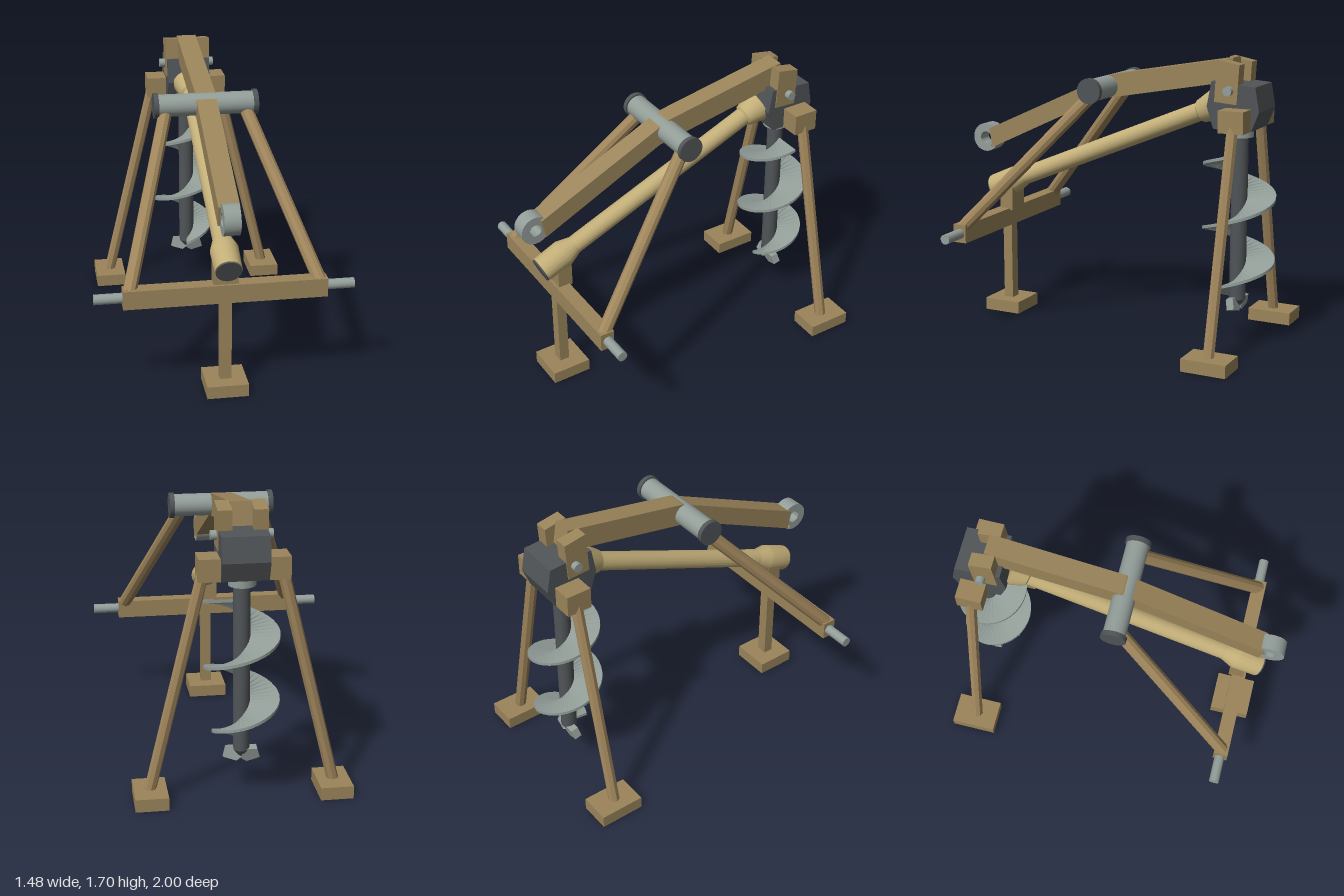
import * as THREE from 'three';
import { toCreasedNormals } from 'three/addons/utils/BufferGeometryUtils.js';

const mat = (name, color, extra = {}) => {
  const m = new THREE.MeshStandardMaterial({ color, ...extra });
  m.name = name;
  return m;
};
const V = (x, y, z) => new THREE.Vector3(x, y, z);
const UP = V(0, 1, 0);

export function createModel() {
  const wood = mat('wood', 0x9b855b);
  const pole = mat('poleWood', 0xa0865c);
  const tan = mat('paleWood', 0xc2ae78);
  const steel = mat('steel', 0x939e99);
  const dark = mat('darkIron', 0x515558);

  const model = new THREE.Group();
  const add = (name, geo, material) => {
    const mesh = new THREE.Mesh(geo, material);
    mesh.name = name;
    model.add(mesh);
    return mesh;
  };
  // Box given by its limits on each axis
  const box = (name, m, x0, x1, y0, y1, z0, z1) =>
    add(name, new THREE.BoxGeometry(x1 - x0, y1 - y0, z1 - z0), m)
      .position.set((x0 + x1) / 2, (y0 + y1) / 2, (z0 + z1) / 2);
  // Turn a y-aligned mesh so that it runs from a towards b
  const aim = (mesh, a, b) => {
    mesh.quaternion.setFromUnitVectors(UP, b.clone().sub(a).normalize());
    mesh.position.copy(a);
    return mesh;
  };
  const rod = (name, m, a, b, r, sides = 20) => {
    const len = a.distanceTo(b);
    const geo = new THREE.CylinderGeometry(r, r, len, sides).translate(0, len / 2, 0);
    return aim(add(name, sides < 12 ? toCreasedNormals(geo, 0.3) : geo, m), a, b);
  };
  // Side profile of [z, y] points, extruded across x
  const plate = (name, m, pts, x0, x1) => {
    const shape = new THREE.Shape(pts.map(([z, y]) => new THREE.Vector2(z, y)));
    const geo = new THREE.ExtrudeGeometry(shape, { depth: x1 - x0, bevelEnabled: false });
    return add(name, geo.rotateY(-Math.PI / 2).translate(x1, 0, 0), m);
  };

  // Front support: foot, post, crossbar and side pegs
  box('frontFoot', wood, -0.12, 0.12, 0, 0.075, 0.65, 0.89);
  box('frontPost', wood, -0.033, 0.033, 0.07, 0.58, 0.742, 0.803);
  box('crossbar', wood, -0.58, 0.58, 0.56, 0.67, 0.73, 0.815);
  box('tubeRest', wood, -0.07, 0.07, 0.66, 0.85, 0.71, 0.80);

  for (const s of [-1, 1]) {
    rod('peg', steel, V(s * 0.57, 0.615, 0.77), V(s * 0.74, 0.615, 0.77), 0.03);
    rod('frontLeg', pole, V(s * 0.54, 0.645, 0.775), V(s * 0.24, 1.445, 0.06), 0.04, 10);
    rod('rearLeg', pole, V(s * 0.525, 0.06, -0.825), V(s * 0.21, 1.36, -0.822), 0.034, 8);
    const fx = s * 0.523;
    box('rearFoot', wood, fx - 0.094, fx + 0.094, 0, 0.075, -0.965, -0.695);
    const bx = s * 0.183;
    box('shoulderBlock', wood, bx - 0.068, bx + 0.068, 1.293, 1.42, -0.897, -0.745);
    rod('pivotCap', dark, V(s * 0.28, 1.485, 0.04), V(s * 0.308, 1.485, 0.04), 0.075, 24);
    // Cheek gripping the beam end
    const cx = s * 0.098;
    plate('beamCheek', wood,
      [[-0.69, 1.69], [-0.825, 1.665], [-0.812, 1.44], [-0.675, 1.45]], cx - 0.04, cx + 0.04);
  }
  rod('pivotTube', steel, V(-0.285, 1.485, 0.04), V(0.285, 1.485, 0.04), 0.066, 24);
  rod('cheekBolt', steel, V(-0.172, 1.517, -0.765), V(0.172, 1.517, -0.765), 0.027, 16);

  // Bent rocking beam
  plate('beam', wood, [
    [0.878, 1.167], [0.03, 1.555], [-0.753, 1.695], [-0.775, 1.565],
    [-0.01, 1.425], [0.09, 1.41], [0.875, 1.06], [0.855, 1.05],
  ], -0.06, 0.06);

  // Eye ring at the beam tip
  const ring = new THREE.Shape().absarc(0, 0, 0.088, 0, Math.PI * 2);
  ring.holes.push(new THREE.Path().absarc(0, 0, 0.037, 0, Math.PI * 2, true));
  const ringGeo = new THREE.ExtrudeGeometry(ring, { depth: 0.092, bevelEnabled: false, curveSegments: 24 });
  add('eyeRing', toCreasedNormals(ringGeo.translate(0, 0, -0.046).rotateY(-Math.PI / 2), 0.6), steel)
    .position.set(0, 1.107, 0.912);

  // Sloping drive tube with collars
  const low = V(0, 0.785, 0.872), high = V(0, 1.415, -0.65);
  const profile = [
    [0, 0], [0.078, 0], [0.082, 0.16], [0.055, 0.24], [0.055, 1.52],
    [0.068, 1.53], [0.1, 1.64], [0, 1.647],
  ].map(([r, y]) => new THREE.Vector2(r, y));
  aim(add('driveTube', toCreasedNormals(new THREE.LatheGeometry(profile, 20), 0.4), tan), low, high);
  const dir = high.clone().sub(low).normalize();
  rod('tubeEndCap', dark, low.clone().addScaledVector(dir, -0.009), low, 0.074, 20);

  // Gear housing
  plate('gearHousing', dark, [
    [-0.655, 1.565], [-0.92, 1.545], [-0.945, 1.405], [-0.9, 1.293],
    [-0.67, 1.293], [-0.628, 1.42],
  ], -0.132, 0.132);

  // Auger: collar, shaft, pointed tip
  const az = -0.786;
  rod('augerCollar', steel, V(0, 1.24, az), V(0, 1.3, az), 0.078, 20);
  rod('augerShaft', dark, V(0, 0.27, az), V(0, 1.27, az), 0.048, 16);
  add('augerTip', new THREE.ConeGeometry(0.047, 0.07, 16).rotateX(Math.PI), dark)
    .position.set(0, 0.235, az);

  // Two canted cutting blades at the foot of the auger
  const blade = new THREE.Shape([[0, 0.0], [0.03, -0.02], [0.103, 0.005], [0.086, 0.065], [0, 0.065]]
    .map(([x, y]) => new THREE.Vector2(x, y)));
  for (const turn of [0, Math.PI]) {
    const geo = new THREE.ExtrudeGeometry(blade, { depth: 0.045, bevelEnabled: false });
    geo.translate(0, 0, -0.022).rotateX(0.25).rotateY(turn);
    add('cuttingBlade', geo, steel).position.set(0, 0.22, az);
  }

  // Helical flight: a thin rectangular section swept down the shaft, narrowing at the end
  const turns = 2.27, steps = 80, pos = [], idx = [];
  for (let i = 0; i <= steps; i++) {
    const n = (i / steps) * turns, t = n * Math.PI * 2, y = 1.15 - 0.381 * n;
    const r = 0.214 - 0.094 * Math.max(0, (n - 1.75) / (turns - 1.75));
    for (const [rad, h] of [[0.04, -0.009], [r, -0.009], [r, 0.009], [0.04, 0.009]])
      pos.push(rad * Math.cos(t), y + h, rad * Math.sin(t));
    if (i === steps) break;
    for (let k = 0; k < 4; k++) {
      const a = i * 4 + k, b = i * 4 + ((k + 1) % 4);
      idx.push(a, b, b + 4, a, b + 4, a + 4);
    }
  }
  const e = steps * 4;
  idx.push(0, 2, 1, 0, 3, 2, e, e + 1, e + 2, e, e + 2, e + 3);
  const flight = new THREE.BufferGeometry();
  flight.setAttribute('position', new THREE.Float32BufferAttribute(pos, 3));
  flight.setIndex(idx);
  add('augerFlight', toCreasedNormals(flight, 0.6), steel).position.z = az;

  return model;
}
